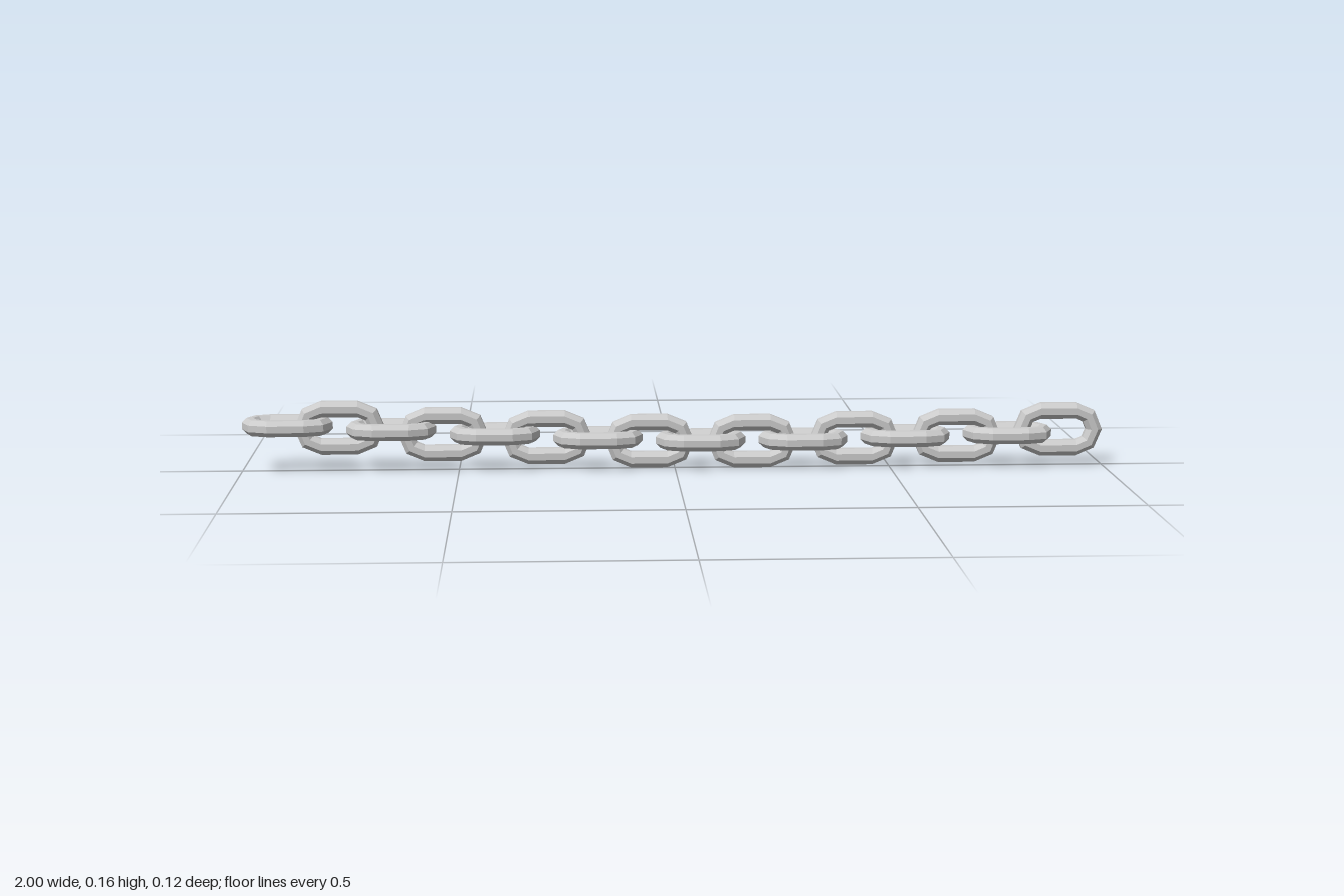
import * as THREE from 'three';

// One stadium-shaped link lying in the XY plane: low-poly tube swept round a closed loop
function linkGeometry(straight, bend, wire, arcSegments, sides) {
  const rings = [];
  for (const end of [0, 1]) {
    for (let i = 0; i <= arcSegments; i++) {
      const a = -Math.PI / 2 + Math.PI * (end + i / arcSegments);
      rings.push({ a, cx: end ? -straight : straight });
    }
  }
  const pos = [], index = [];
  for (const { a, cx } of rings) {
    for (let j = 0; j < sides; j++) {
      const b = ((j + 0.5) / sides) * Math.PI * 2;
      const r = bend + wire * Math.cos(b);
      pos.push(cx + r * Math.cos(a), r * Math.sin(a), wire * Math.sin(b));
    }
  }
  for (let i = 0; i < rings.length; i++) {
    const n = (i + 1) % rings.length;
    for (let j = 0; j < sides; j++) {
      const k = (j + 1) % sides;
      const p = i * sides + j, q = n * sides + j, r = n * sides + k, s = i * sides + k;
      index.push(p, q, r, p, r, s);
    }
  }
  const g = new THREE.BufferGeometry();
  g.setAttribute('position', new THREE.Float32BufferAttribute(pos, 3));
  g.setIndex(index);
  g.computeVertexNormals();
  return g;
}

export function createModel() {
  const chain = new THREE.Group();
  chain.name = 'chain';
  const metal = new THREE.MeshStandardMaterial({ color: 0xcccccc, flatShading: true });
  const geometry = linkGeometry(0.042, 0.0435, 0.02, 4, 8);

  // Height of each link along the gently sagging chain, from -x to +x
  const heights = [0.108, 0.102, 0.097, 0.085, 0.085, 0.076, 0.074, 0.066,
    0.067, 0.064, 0.067, 0.069, 0.073, 0.073, 0.078, 0.086];
  const pitch = 0.1193;

  heights.forEach((y, i) => {
    const link = new THREE.Mesh(geometry, metal);
    const flat = i % 2 === 0;
    link.name = flat ? 'flatLink' : 'uprightLink';
    link.position.set((i - (heights.length - 1) / 2) * pitch, y, 0);
    if (flat) link.rotation.x = Math.PI / 2; // every other link lies flat
    chain.add(link);
  });
  return chain;
}
